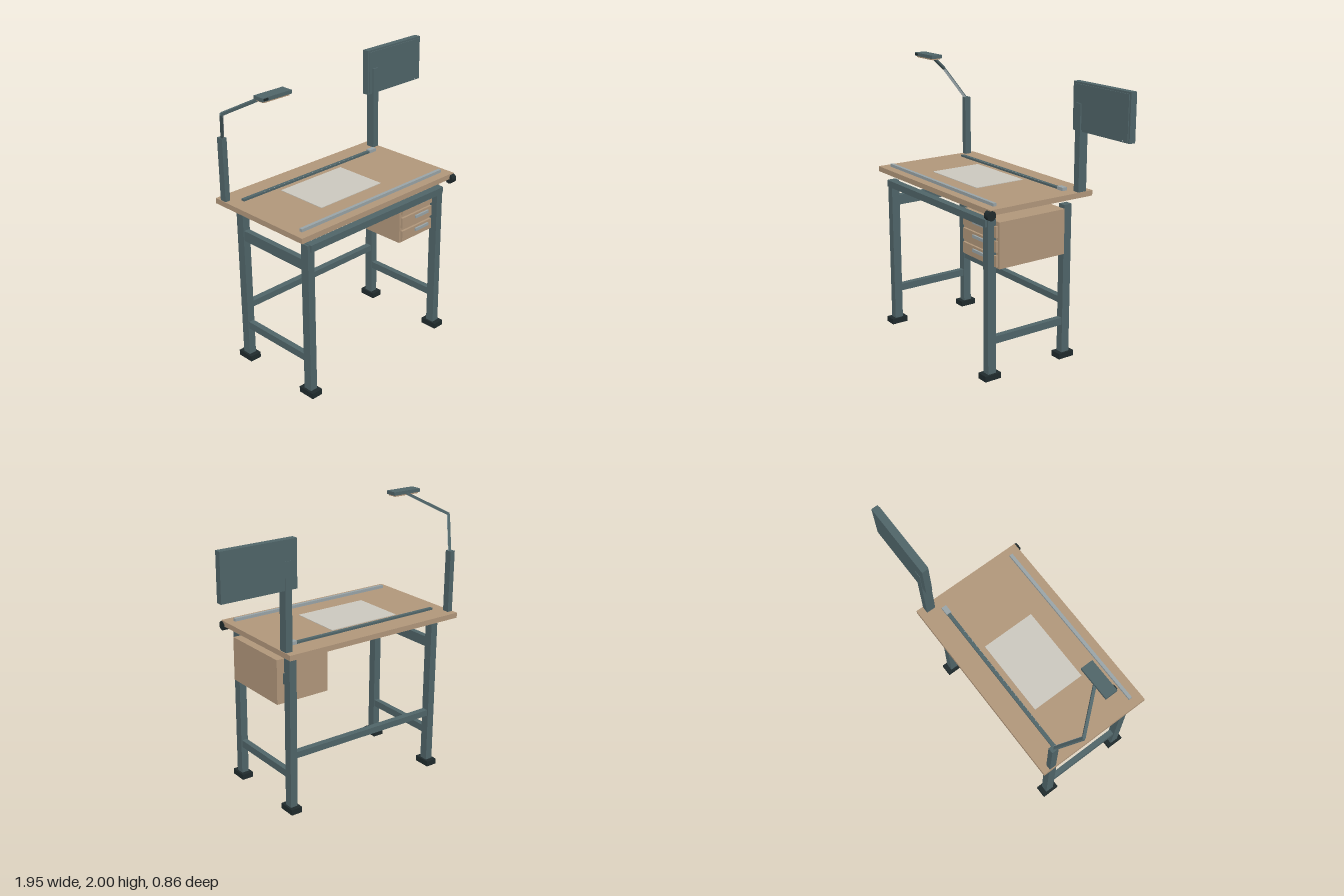
import * as THREE from 'three';

export function createModel() {
  const model = new THREE.Group();
  model.name = 'draftingDesk';

  const mat = (name, color) => {
    const m = new THREE.MeshStandardMaterial({ color });
    m.name = name;
    return m;
  };
  const steel = mat('slate steel', 0x4f6468);
  const wood = mat('light wood', 0xb0967a);
  const rubber = mat('black rubber', 0x1f2a2c);
  const metal = mat('pale metal', 0x98a3a6);
  const paperMat = mat('paper', 0xcac7bd);

  const add = (name, geometry, material, parent = model) => {
    const mesh = new THREE.Mesh(geometry, material);
    mesh.name = name;
    parent.add(mesh);
    return mesh;
  };
  // Box given by its low and high limits on each axis
  const box = (name, material, x0, x1, y0, y1, z0, z1, parent) => {
    const mesh = add(name, new THREE.BoxGeometry(x1 - x0, y1 - y0, z1 - z0), material, parent);
    mesh.position.set((x0 + x1) / 2, (y0 + y1) / 2, (z0 + z1) / 2);
    return mesh;
  };

  // Frame: four legs with feet, side rails, cross rails
  const frame = new THREE.Group();
  frame.name = 'frame';
  model.add(frame);
  for (const x of [-0.79, 0.42]) {
    for (const z of [0.34, -0.281]) {
      box('leg', steel, x - 0.027, x + 0.027, 0.04, 1.105, z - 0.031, z + 0.031, frame);
      box('foot', rubber, x - 0.042, x + 0.042, 0, 0.04, z - 0.063, z + 0.063, frame);
    }
    box('lowerSideRail', steel, x - 0.02, x + 0.02, 0.245, 0.297, -0.25, 0.309, frame);
    box('upperSideRail', steel, x - 0.02, x + 0.02, 0.917, 0.99, -0.25, 0.309, frame);
  }
  box('frontRail', steel, -0.8, 0.436, 1.06, 1.108, 0.331, 0.385, frame);
  box('rearRail', steel, -0.763, 0.393, 0.393, 0.438, -0.303, -0.258, frame);

  // Drawing board with knob, ledge, ruler and sheet
  box('tableTop', wood, -0.89, 0.521, 1.159, 1.196, -0.428, 0.404);
  const knob = add('tiltKnob', new THREE.CylinderGeometry(0.033, 0.033, 0.042, 24), rubber);
  knob.rotation.z = Math.PI / 2;
  knob.position.set(0.503, 1.157, 0.395);
  box('pencilLedge', metal, -0.832, 0.462, 1.196, 1.217, 0.317, 0.34);
  box('ruler', steel, -0.795, 0.37, 1.196, 1.21, -0.28, -0.254);
  box('rulerHead', metal, 0.368, 0.428, 1.196, 1.219, -0.284, -0.248);
  for (let i = 0; i < 20; i++) {
    const x = -0.62 + i * 0.043;
    box('rulerTick', metal, x, x + 0.005, 1.21, 1.212, -0.26, -0.254);
  }
  box('paperSheet', paperMat, -0.513, 0.035, 1.196, 1.2, -0.213, 0.174);

  // Drawer unit
  const drawers = new THREE.Group();
  drawers.name = 'drawerUnit';
  model.add(drawers);
  box('drawerCase', wood, 0.08, 0.486, 0.778, 1.092, -0.222, 0.31, drawers);
  for (let i = 0; i < 3; i++) {
    const y = 1.024 - i * 0.098;
    box('drawerFront', wood, 0.094, 0.472, y - 0.038, y + 0.038, 0.31, 0.326, drawers);
    box('drawerHandle', metal, 0.218, 0.348, y + 0.002, y + 0.022, 0.326, 0.339, drawers);
  }

  // Panel on its post
  box('panelPost', steel, 0.467, 0.516, 1.196, 1.79, -0.377, -0.311);
  box('panel', steel, 0.425, 0.97, 1.604, 1.926, -0.374, -0.327);
  box('panelFace', steel, 0.438, 0.957, 1.617, 1.913, -0.327, -0.321);
  box('panelLight', metal, 0.908, 0.916, 1.612, 1.62, -0.321, -0.319);

  // Lamp: post, two arm bars and a flat head
  const lamp = new THREE.Group();
  lamp.name = 'lamp';
  model.add(lamp);
  box('lampPost', steel, -0.886, -0.848, 1.196, 1.632, -0.38, -0.331, lamp);
  const bar = (name, a, b, w) => {
    const along = b.clone().sub(a);
    const length = along.length();
    along.normalize();
    const face = new THREE.Vector3(1, 0, 1).addScaledVector(along, -along.dot(new THREE.Vector3(1, 0, 1))).normalize();
    const side = along.clone().cross(face);
    const group = new THREE.Group();
    group.name = name;
    group.quaternion.setFromRotationMatrix(new THREE.Matrix4().makeBasis(side, along, face));
    group.position.copy(a).add(b).multiplyScalar(0.5);
    lamp.add(group);
    box(name + 'Bar', steel, -w / 2, w / 2, -length / 2, length / 2, -w / 2, w / 2, group);
    return { group, length };
  };
  const elbow = new THREE.Vector3(-0.963, 1.847, -0.22);
  const lower = bar('lowerArm', new THREE.Vector3(-0.868, 1.625, -0.35), elbow, 0.019);
  box('armStrip', metal, -0.009, 0.009, -lower.length / 2, lower.length / 2, 0.0095, 0.0125, lower.group);
  bar('upperArm', elbow, new THREE.Vector3(-0.772, 1.977, 0.005), 0.019);
  box('lampHead', steel, -0.882, -0.652, 1.976, 2, -0.004, 0.08, lamp);
  box('lampDiffuser', wood, -0.87, -0.664, 1.966, 1.976, 0.004, 0.072, lamp);
  box('lampSwitch', rubber, -0.874, -0.842, 1.983, 1.996, 0.08, 0.087, lamp);

  // Centre the whole on x and z
  const bounds = new THREE.Box3().setFromObject(model);
  const centre = bounds.getCenter(new THREE.Vector3());
  for (const part of model.children) {
    part.position.x -= centre.x;
    part.position.z -= centre.z;
  }
  return model;
}
